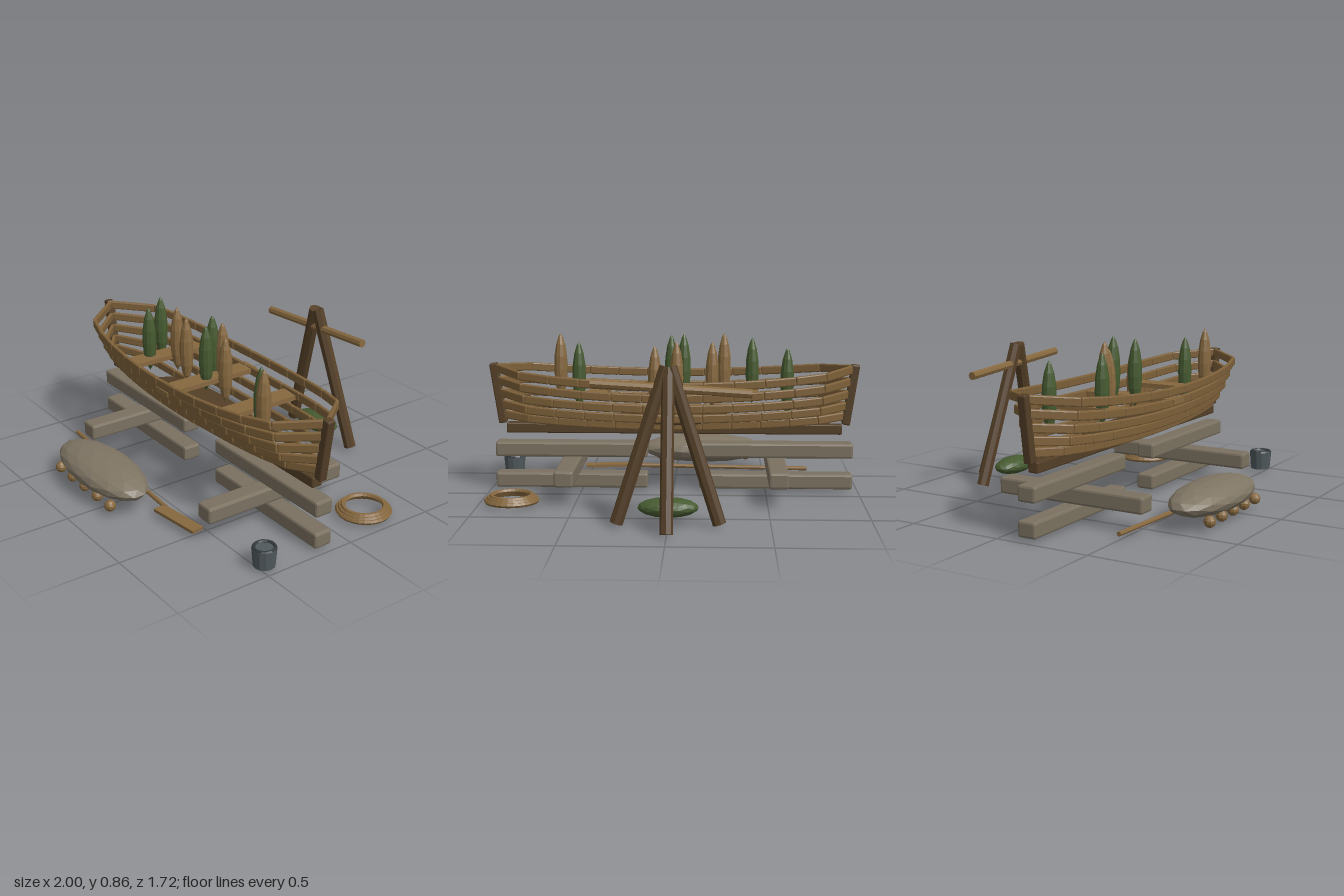
import * as THREE from 'three';
import { RoundedBoxGeometry } from 'three/addons/geometries/RoundedBoxGeometry.js';

const mat = (name, color) => {
  const m = new THREE.MeshStandardMaterial({ color, flatShading: true });
  m.name = name;
  return m;
};

export function createModel() {
  const root = new THREE.Group();
  root.name = 'boatyard';
  const wood = mat('plankWood', 0x7d6039);
  const darkWood = mat('darkWood', 0x543f27);
  const lightWood = mat('lightWood', 0x86683f);
  const timber = mat('greyTimber', 0x7b7160);
  const hide = mat('greyHide', 0x7f7564);
  const green = mat('green', 0x465a30);
  const metal = mat('metal', 0x50595d);
  const darkMetal = mat('darkMetal', 0x33393c);
  const V = (x, y, z) => new THREE.Vector3(x, y, z);

  const add = (parent, name, geo, material, x = 0, y = 0, z = 0) => {
    const m = new THREE.Mesh(geo, material);
    m.name = name;
    m.position.set(x, y, z);
    parent.add(m);
    return m;
  };
  const group = (name) => {
    const g = new THREE.Group();
    g.name = name;
    root.add(g);
    return g;
  };
  // bevelled bar running from a to b
  const bar = (parent, name, a, b, w, h, material, bevel = 0.007) => {
    const m = add(parent, name, new RoundedBoxGeometry(w, h, a.distanceTo(b), 1, bevel), material);
    m.position.copy(a).lerp(b, 0.5);
    m.lookAt(b);
    return m;
  };
  // round pole running from a to b
  const pole = (parent, name, a, b, r, material, sides = 8) => {
    const m = add(parent, name, new THREE.CylinderGeometry(r, r, a.distanceTo(b), sides), material);
    m.position.copy(a).lerp(b, 0.5);
    m.quaternion.setFromUnitVectors(V(0, 1, 0), b.clone().sub(a).normalize());
    return m;
  };

  // Hull: rows of short planks along a tapering, rising curve
  const Z = 0.147;
  const boat = group('boat');
  const rows = [ // mid height, half width, half length, rise at the ends
    [0.612, 0.3, 0.965, 0.06],
    [0.545, 0.262, 0.957, 0.06],
    [0.483, 0.225, 0.948, 0.055],
    [0.425, 0.18, 0.938, 0.05],
    [0.378, 0.12, 0.928, 0.04],
  ];
  rows.forEach(([y, w, len, rise]) => {
    for (const side of [-1, 1]) {
      const at = (i) => {
        const t = i / 6;
        return V(t * len, y + rise * t * t,
          Z + side * w * Math.pow(Math.max(0, 1 - t * t), 0.35));
      };
      for (let i = -6; i < 6; i++) bar(boat, 'hullPlank', at(i), at(i + 1), 0.02, 0.046, wood);
    }
  });

  // Keel, floor, end posts and seats
  bar(boat, 'keel', V(-0.91, 0.345, Z), V(0.91, 0.345, Z), 0.058, 0.055, darkWood);
  add(boat, 'floor', new THREE.SphereGeometry(1, 20, 8), darkWood, 0, 0.395, Z)
    .scale.set(0.46, 0.035, 0.14);
  for (const s of [-1, 1]) {
    bar(boat, 'endPost', V(s * 0.93, 0.37, Z), V(s * 0.978, 0.697, Z), 0.045, 0.045, darkWood);
  }
  for (const [x, half] of [[-0.405, 0.24], [0, 0.282], [0.4, 0.24]]) {
    add(boat, 'seat', new THREE.BoxGeometry(0.104, 0.025, half * 2), lightWood, x, 0.548, Z - 0.005);
  }

  // Pointed bundles standing in the boat
  const profile = [[0, 0], [0.55, 0.1], [0.9, 0.27], [1, 0.45], [0.95, 0.65], [0.68, 0.83], [0.3, 0.95], [0, 1]]
    .map(([r, y]) => new THREE.Vector2(r, y));
  const spindleGeo = new THREE.LatheGeometry(profile, 10);
  const spindles = group('bundles');
  [
    [-0.605, 0.035, 0.8, green], [-0.425, 0.225, 0.832, green],
    [-0.272, 0.145, 0.865, lightWood], [-0.208, 0.13, 0.82, lightWood],
    [-0.058, 0.067, 0.868, green], [-0.02, 0.03, 0.83, lightWood],
    [0.012, 0.157, 0.852, green], [0.1, 0.097, 0.8, lightWood],
    [0.517, 0.185, 0.81, green], [0.625, 0.252, 0.85, lightWood],
  ].forEach(([x, z, top, m]) => {
    add(spindles, 'bundle', spindleGeo, m, x, top - 0.36, z).scale.set(0.037, 0.36, 0.037);
  });

  // Timber cribs under each end of the boat
  const cribs = group('cribs');
  for (const s of [-1, 1]) {
    for (const y of [0.06, 0.23]) {
      bar(cribs, 'longBeam', V(s * 0.14, y, Z), V(s * 0.97, y, Z), 0.1, 0.082, timber, 0.012);
    }
    bar(cribs, 'crossBeam', V(s * 0.555, 0.145, -0.27), V(s * 0.555, 0.145, 0.555), 0.102, 0.085, timber, 0.012);
  }

  // Hide bundle with a row of floats beside it
  const pack = group('hideBundle');
  add(pack, 'bundleBody', new THREE.IcosahedronGeometry(1, 2), hide, -0.155, 0.127, 0.7)
    .scale.set(0.368, 0.08, 0.158);
  for (let i = 0; i < 5; i++) {
    add(pack, 'float', new THREE.SphereGeometry(0.03, 10, 7), lightWood, -0.407 + i * 0.127, 0.064, 0.81);
  }

  // Oar
  const oar = group('oar');
  pole(oar, 'oarShaft', V(-0.755, 0.045, 0.517), V(0.25, 0.045, 0.575), 0.012, lightWood);
  add(oar, 'oarBlade', new THREE.BoxGeometry(0.295, 0.016, 0.068), lightWood, 0.38, 0.043, 0.587)
    .rotation.y = 0.12;

  // Bucket
  const bucket = group('bucket');
  add(bucket, 'bucketBody', new THREE.CylinderGeometry(0.062, 0.054, 0.096, 12), metal, 0.93, 0.068, 0.472);
  add(bucket, 'bucketRim', new THREE.TorusGeometry(0.052, 0.009, 6, 14), darkMetal, 0.93, 0.117, 0.472)
    .rotation.x = Math.PI / 2;

  // Rope coil
  const rope = group('ropeCoil');
  for (let i = 0; i < 3; i++) {
    add(rope, 'ropeRing', new THREE.TorusGeometry(0.131 - i * 0.013, 0.013, 6, 28), lightWood, 0.828, 0.03 + i * 0.011, -0.235)
      .rotation.x = Math.PI / 2;
  }

  // Three-legged stand with a crossbar and a green sack at its foot
  const stand = group('stand');
  for (const s of [-1, 1]) {
    pole(stand, 'sideLeg', V(s * 0.01, 0.775, -0.587), V(s * 0.25, 0.02, -0.65), 0.034, darkWood);
  }
  pole(stand, 'backLeg', V(0, 0.77, -0.59), V(0, 0.015, -0.83), 0.032, darkWood);
  pole(stand, 'crossbar', V(-0.403, 0.648, -0.59), V(0.375, 0.695, -0.59), 0.022, lightWood);
  add(stand, 'sack', new THREE.IcosahedronGeometry(1, 2), green, 0, 0.093, -0.615)
    .scale.set(0.15, 0.048, 0.08);

  return root;
}
